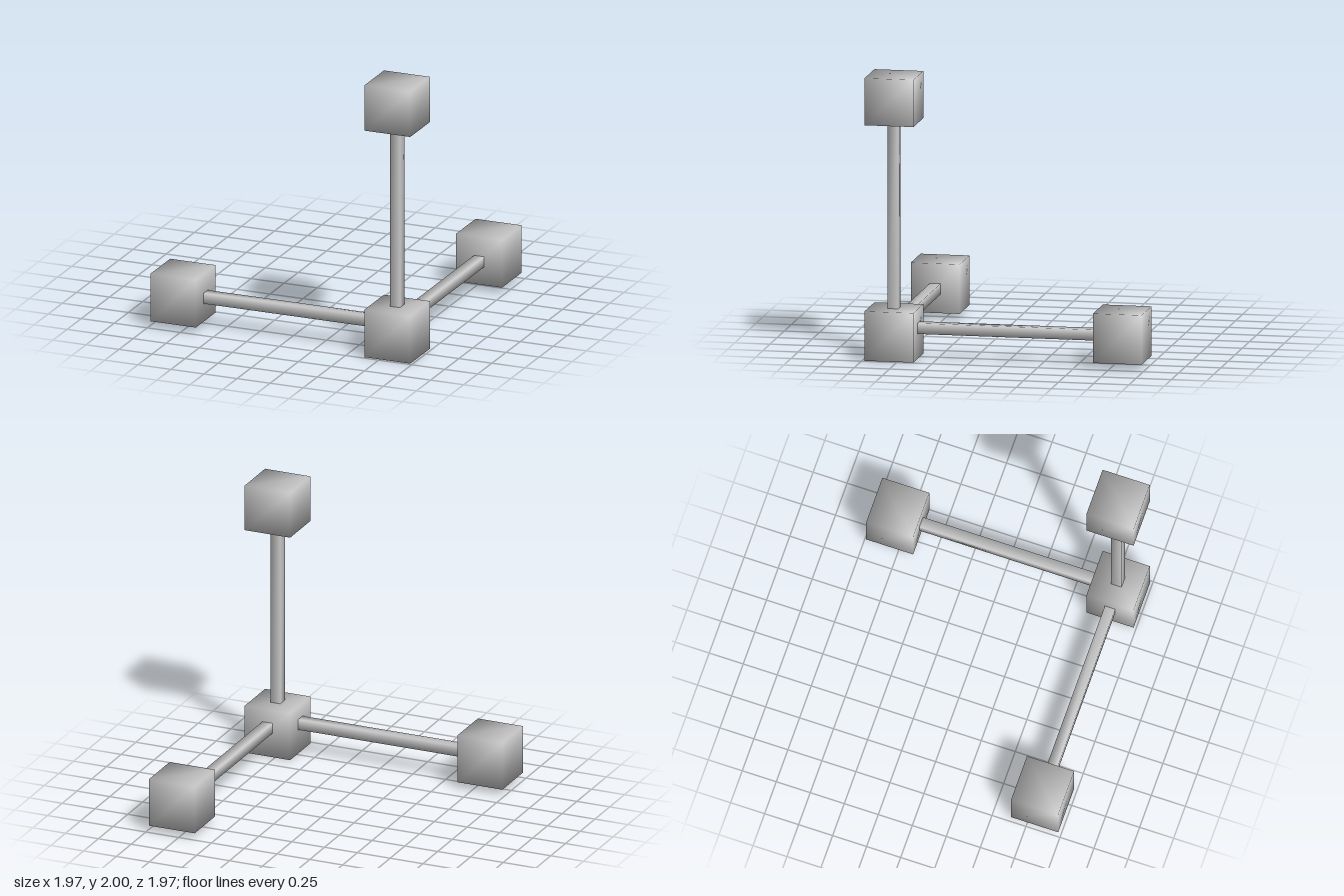
import * as THREE from 'three';
import { mergeVertices } from 'three/addons/utils/BufferGeometryUtils.js';

const material = new THREE.MeshStandardMaterial({ color: 0xcccccc });

// Box whose corners share one averaged normal, for soft shading
function softBox(name, size, position) {
  const box = new THREE.BoxGeometry(...size);
  box.deleteAttribute('normal');
  box.deleteAttribute('uv');
  const geometry = mergeVertices(box);
  geometry.computeVertexNormals();
  const mesh = new THREE.Mesh(geometry, material);
  mesh.name = name;
  mesh.position.set(...position);
  return mesh;
}

export function createModel() {
  const group = new THREE.Group();
  group.name = 'axisFrame';
  const near = 0.808; // distance of the corner from the centre lines
  const far = -0.812;
  const barY = 0.216;
  const bar = 0.076;

  // Corner cube and the cube at the end of each arm
  group.add(
    softBox('cornerCube', [0.347, 0.35, 0.347], [near, 0.175, near]),
    softBox('topCube', [0.347, 0.333, 0.347], [near, 1.8335, near]),
    softBox('sideCube', [0.343, 0.35, 0.347], [far, 0.22, near]),
    softBox('backCube', [0.347, 0.35, 0.345], [near, 0.22, far])
  );

  // Three square bars meeting inside the corner cube
  const length = near - far;
  group.add(
    softBox('uprightBar', [bar, 1.6, bar], [near, 1.016, near]),
    softBox('sideBar', [length, bar, bar], [0, barY, near]),
    softBox('backBar', [bar, bar, length], [near, barY, 0])
  );
  return group;
}
